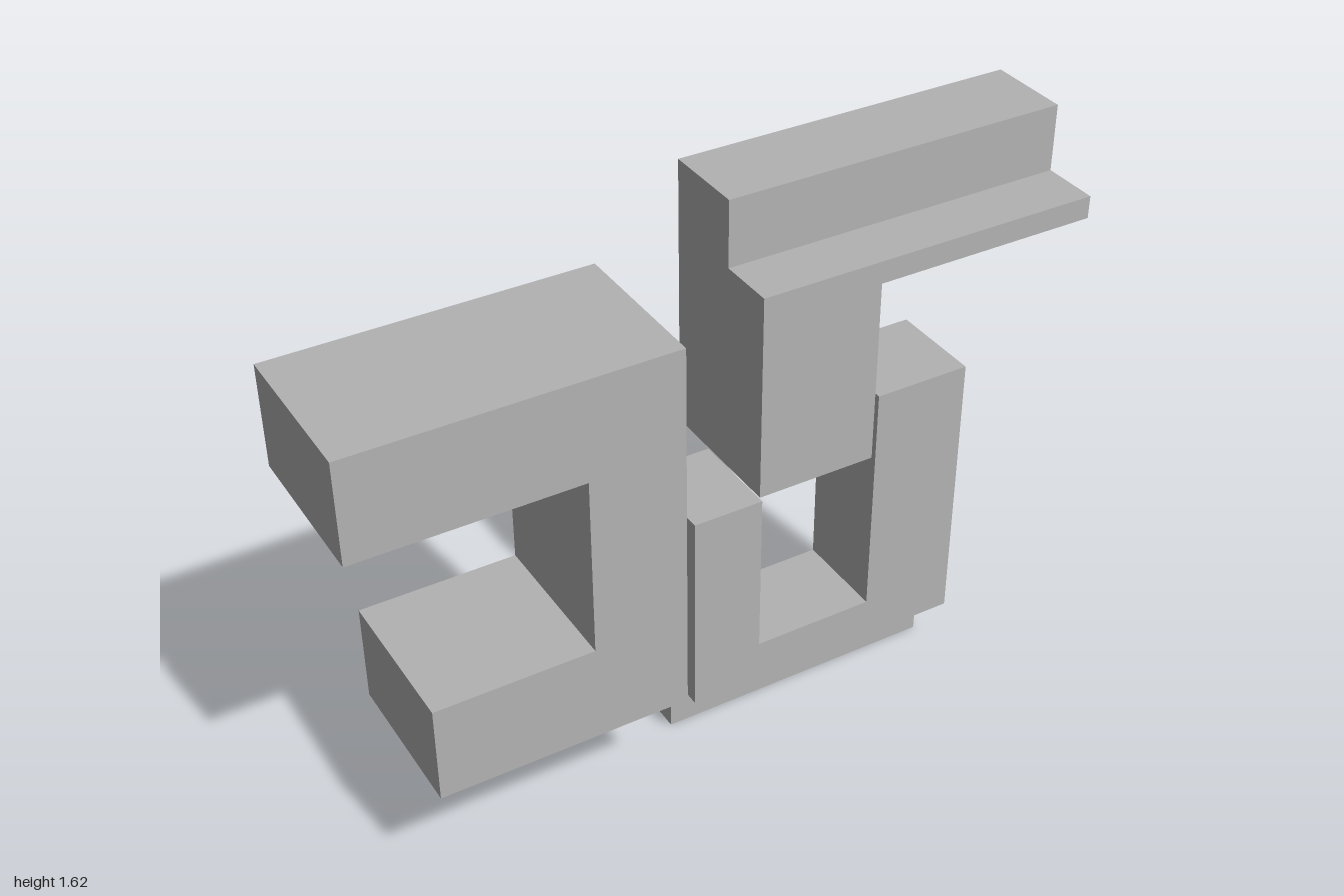
import * as THREE from 'three';

const stone = new THREE.MeshStandardMaterial({ color: 0xb2b2b2 });
stone.name = 'plain grey';

// Extrude an outline in the x-y plane from zBack to zFront
function slab(name, points, zBack, zFront) {
  const shape = new THREE.Shape(points.map(([x, y]) => new THREE.Vector2(x, y)));
  const geometry = new THREE.ExtrudeGeometry(shape, { depth: zFront - zBack, bevelEnabled: false });
  geometry.translate(0, 0, zBack);
  const mesh = new THREE.Mesh(geometry, stone);
  mesh.name = name;
  return mesh;
}

function box(name, x0, x1, y0, y1, z0, z1) {
  return slab(name, [[x0, y0], [x1, y0], [x1, y1], [x0, y1]], z0, z1);
}

export function createModel() {
  const model = new THREE.Group();
  model.name = 'interlockingBlocks';
  const back = -0.213;

  // Hook block with two arms reaching to the right side
  model.add(slab('hookBlock', [
    [-0.16, 0.375], [-0.16, 1.415], [-1, 1.415], [-1, 1.142],
    [-0.412, 1.142], [-0.412, 0.648], [-0.835, 0.648], [-0.835, 0.375],
  ], -0.21, 0.213));

  // Corner block with a raised ridge along its back
  const corner = new THREE.Group();
  corner.name = 'cornerBlock';
  corner.add(
    slab('cornerBody', [
      [0.068, 0.89], [0.392, 0.89], [0.392, 1.388],
      [1, 1.388], [1, 1.448], [0.068, 1.448],
    ], back, 0.17),
    box('cornerRidge', 0.068, 1, 1.448, 1.625, back, 0.015),
  );
  model.add(corner);

  // Upright channel with a narrower foot
  const channel = new THREE.Group();
  channel.name = 'channelBlock';
  channel.add(
    slab('channelBody', [
      [-0.043, 0.181], [0.76, 0.181], [0.76, 0.967], [0.492, 0.967],
      [0.492, 0.3], [0.152, 0.3], [0.152, 0.769], [-0.043, 0.769],
    ], back, 0.05),
    box('channelFoot', -0.043, 0.76, 0, 0.181, back, -0.08),
  );
  model.add(channel);

  return model;
}
